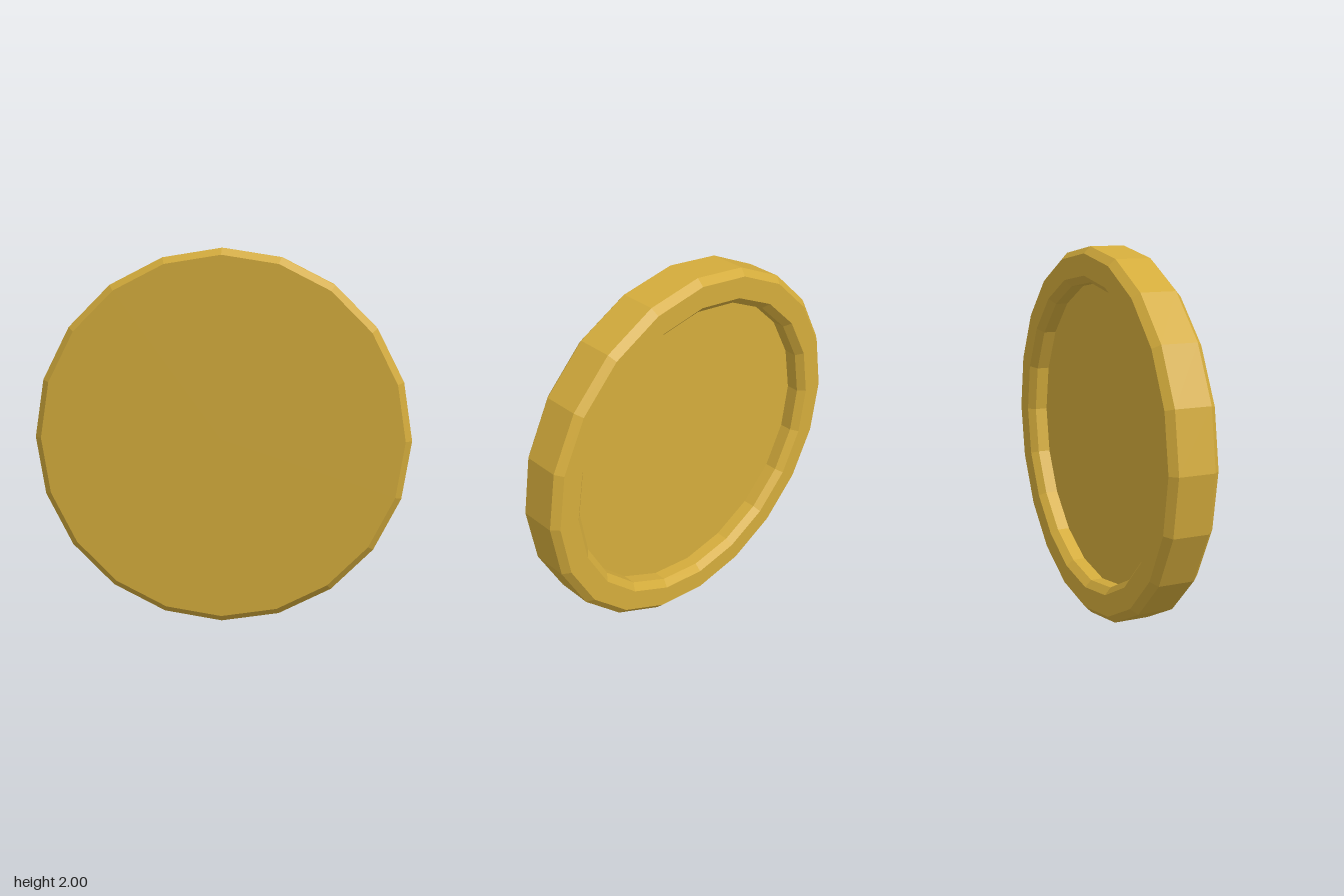
import * as THREE from 'three';

export function createModel() {
  const group = new THREE.Group();
  group.name = 'roundDisc';

  const sides = 20;
  const half = 0.132;   // half thickness
  const bevel = 0.036;
  const inner = 0.85;   // rim opening at the back
  const floor = -0.027; // depth of the recessed back

  // Profile (radius, depth) from the centre of the recess, around the rim, to the front centre
  const profile = [
    [0, floor],
    [inner - bevel, floor],
    [inner - bevel, -half + bevel],
    [inner, -half],
    [1 - bevel, -half],
    [1, -half + bevel],
    [1, half - bevel],
    [1 - bevel, half],
    [0, half],
  ].map(([r, z]) => new THREE.Vector2(r, z));

  const geometry = new THREE.LatheGeometry(profile, sides);
  geometry.rotateX(Math.PI / 2); // lathe axis faces the front
  geometry.translate(0, 1, 0);

  const material = new THREE.MeshStandardMaterial({ color: 0xd4ac3c, flatShading: true });
  const disc = new THREE.Mesh(geometry, material);
  disc.name = 'bevelledDisc';
  group.add(disc);
  return group;
}
